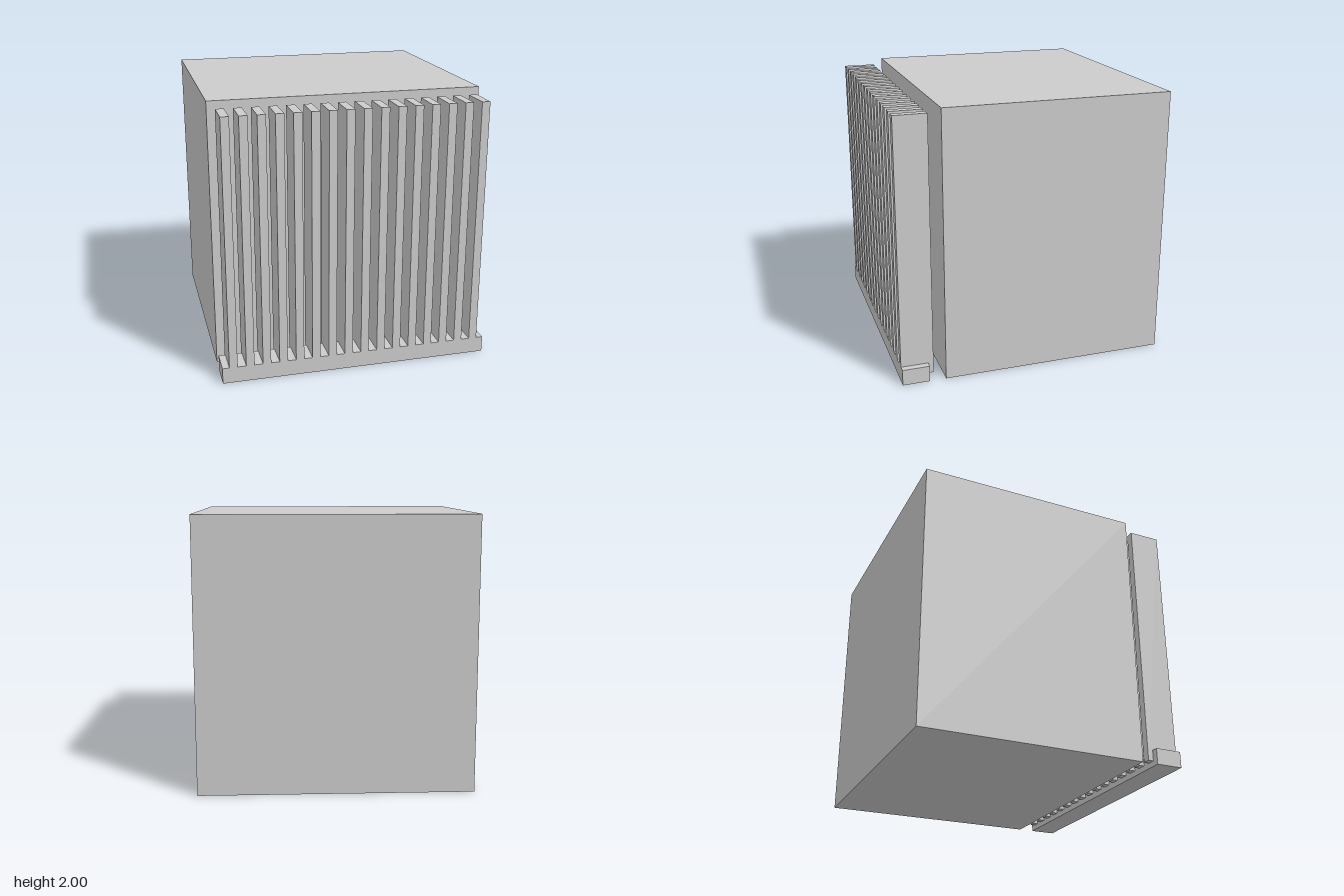
import * as THREE from 'three';

export function createModel() {
  const model = new THREE.Group();
  const material = new THREE.MeshStandardMaterial({ color: 0xcccccc, flatShading: true });

  const add = (name, geometry, x, y, z) => {
    const mesh = new THREE.Mesh(geometry, material);
    mesh.name = name;
    mesh.position.set(x, y, z);
    model.add(mesh);
    return mesh;
  };

  // Main block, standing behind the grille
  add('body', new THREE.BoxGeometry(2, 2, 1.68), 0, 1, -0.16);

  // Rail along the foot of the grille
  add('baseRail', new THREE.BoxGeometry(2, 0.12, 0.2), 0, 0.06, 0.9);

  // Upright slat: side profile (z, y) notched to sit over and behind the rail
  const profile = new THREE.Shape([
    [0.76, 0.04], [0.8, 0.04], [0.8, 0.12], [1, 0.12], [1, 1.96], [0.76, 1.96],
  ].map(([z, y]) => new THREE.Vector2(z, y)));
  const width = 0.06;
  const slat = new THREE.ExtrudeGeometry(profile, { depth: width, bevelEnabled: false });
  slat.translate(0, 0, -width / 2).rotateY(-Math.PI / 2);

  // Even row of slats
  const count = 16;
  const reach = 0.92;
  for (let i = 0; i < count; i++) {
    add(`slat${i + 1}`, slat, -reach + (2 * reach * i) / (count - 1), 0, 0);
  }

  return model;
}
